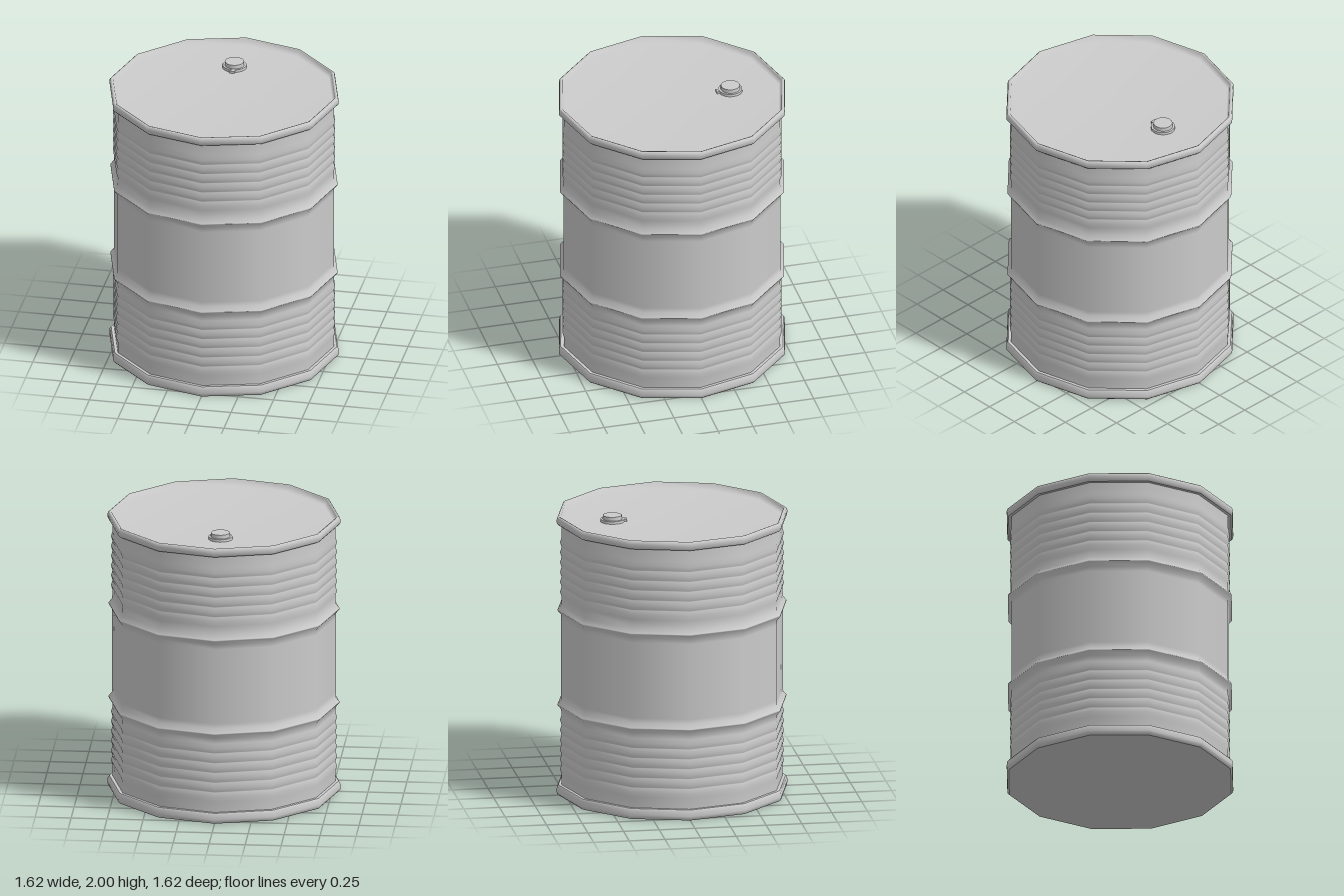
import * as THREE from 'three';

const SIDES = 12;

export function createModel() {
  const group = new THREE.Group();
  group.name = 'drum';
  const material = new THREE.MeshStandardMaterial({ color: 0xcccccc });

  const add = (name, geometry, parent = group) => {
    const mesh = new THREE.Mesh(geometry, material);
    mesh.name = name;
    parent.add(mesh);
    return mesh;
  };
  // Lathe a list of [radius, height] pairs, listed from bottom to top
  const lathe = (profile, sides = SIDES) =>
    new THREE.LatheGeometry(profile.map(([r, y]) => new THREE.Vector2(r, y)), sides);

  // Wall: two groups of fine ribs and two large rolling hoops
  const wall = [[0.775, 0.06]];
  const ribs = (start) => {
    for (let i = 0; i < 6; i++) {
      const y = start + i * 0.071;
      wall.push([0.775, y - 0.033], [0.785, y], [0.775, y + 0.033]);
    }
  };
  const hoop = (y) => wall.push([0.777, y - 0.035], [0.802, y - 0.004], [0.802, y + 0.004], [0.777, y + 0.035]);
  ribs(0.185);
  hoop(0.65);
  wall.push([0.777, 0.72], [0.777, 1.26]);
  hoop(1.33);
  ribs(1.46);
  wall.push([0.775, 1.95]);
  add('wall', lathe(wall));

  // Bottom rim with its underside
  add('bottomRim', lathe([[0.795, 0], [0.807, 0.012], [0.81, 0.03], [0.807, 0.062], [0.797, 0.075]]));
  add('bottomRimLedge', lathe([[0.797, 0.075], [0.77, 0.075]]));
  add('base', lathe([[0, 0], [0.795, 0]]));

  // Top rim rolling over into the sunken lid
  add('topRimLedge', lathe([[0.77, 1.938], [0.797, 1.938]]));
  add('topRimAndLid', lathe([
    [0.797, 1.938], [0.807, 1.95], [0.81, 1.975], [0.805, 1.992],
    [0.795, 2], [0.783, 1.995], [0.768, 1.955], [0, 1.953],
  ]));

  // Filler cap: flange, raised plug and a small pull tab
  const cap = new THREE.Group();
  cap.name = 'fillerCap';
  cap.position.set(-0.01, 1.95, -0.42);
  group.add(cap);
  add('capFlange', new THREE.CylinderGeometry(0.083, 0.085, 0.022, 16), cap).position.y = 0.011;
  add('capPlug', new THREE.CylinderGeometry(0.066, 0.068, 0.03, 16), cap).position.y = 0.034;
  add('capTab', new THREE.BoxGeometry(0.04, 0.018, 0.04), cap).position.set(0, 0.011, 0.081);

  return group;
}
